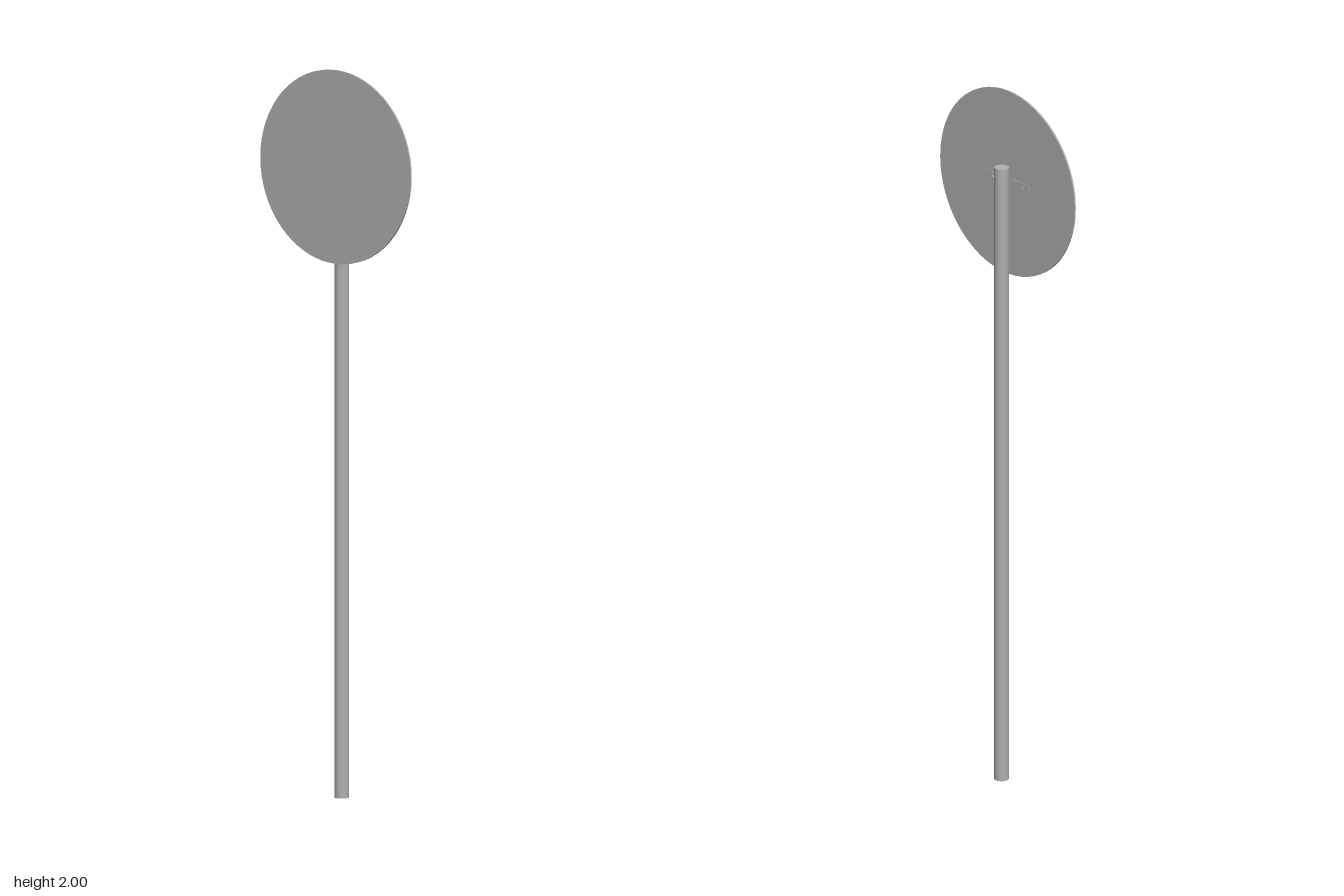
import * as THREE from 'three';

export function createModel() {
  const group = new THREE.Group();
  const metal = new THREE.MeshStandardMaterial({ color: 0xb0b0b0 });
  metal.name = 'grey metal';

  const add = (name, geometry, x, y, z) => {
    const mesh = new THREE.Mesh(geometry, metal);
    mesh.name = name;
    mesh.position.set(x, y, z);
    group.add(mesh);
  };
  // Cylinder whose axis runs along x
  const sideways = (radius, depth, sides) =>
    new THREE.CylinderGeometry(radius, radius, depth, sides).rotateZ(Math.PI / 2);

  const signY = 1.734;

  // Upright post
  add('post', new THREE.CylinderGeometry(0.02, 0.02, 1.783, 32), 0.003, 0.8915, 0);

  // Round sign plate, mounted on the -x side of the post
  add('signPlate', sideways(0.266, 0.005, 64), -0.021, signY, 0);

  // Flat mounting strap between plate and post, with a bolt each side
  add('mountingStrap', new THREE.BoxGeometry(0.002, 0.03, 0.17), -0.0177, signY, -0.002);
  for (const side of [-1, 1]) {
    add('bolt', sideways(0.0055, 0.005, 12), -0.016, signY, side * 0.058 - 0.002);
  }
  return group;
}
